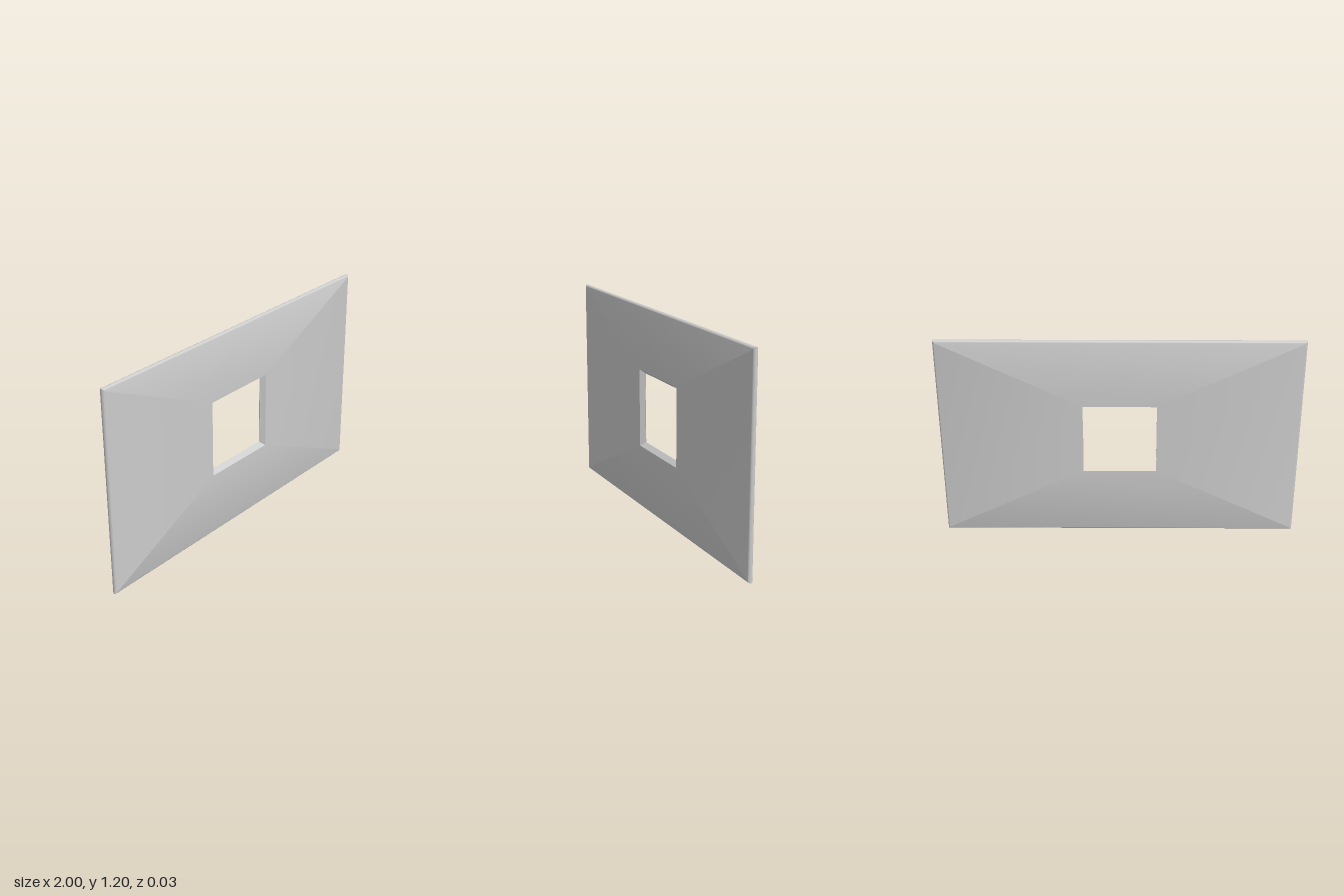
import * as THREE from 'three';
import { mergeGeometries, toCreasedNormals } from 'three/addons/utils/BufferGeometryUtils.js';

const HALF_W = 1, HALF_H = 0.6, R = 0.015; // half sizes; R is the edge radius and half thickness
const HOLE_FRONT = 0.227, HOLE_BACK = 0.205;

// Cross-section from the hole's front rim, round the outer edge, to its back rim: [halfWidth, halfHeight, z]
function plateSection() {
  const rings = [[HOLE_FRONT, HOLE_FRONT, R]];
  const steps = 10;
  for (let i = 0; i <= steps; i++) {
    const a = (i / steps) * Math.PI;
    const inset = R * (1 - Math.sin(a));
    rings.push([HALF_W - inset, HALF_H - inset, R * Math.cos(a)]);
  }
  rings.push([HOLE_BACK, HOLE_BACK, -R]);
  return rings;
}

// One mitred side of the frame, the section stretched between two neighbouring corners
function frameSide(rings, c0, c1) {
  const at = ([w, h, z], [sx, sy]) => [w * sx, h * sy, z];
  const pos = [];
  rings.forEach((ring, i) => {
    const next = rings[(i + 1) % rings.length];
    const a = at(ring, c0), b = at(next, c0), c = at(next, c1), d = at(ring, c1);
    pos.push(...a, ...b, ...c, ...a, ...c, ...d);
  });
  const g = new THREE.BufferGeometry();
  g.setAttribute('position', new THREE.Float32BufferAttribute(pos, 3));
  return toCreasedNormals(g, 0.5);
}

export function createModel() {
  const model = new THREE.Group();
  model.name = 'wallPlate';
  const grey = new THREE.MeshStandardMaterial({ color: 0xcccccc });

  // Plate with rounded outer edges and a tapered square opening
  const corners = [[1, -1], [1, 1], [-1, 1], [-1, -1]];
  const rings = plateSection();
  const sides = corners.map((c, i) => frameSide(rings, c, corners[(i + 1) % 4]));
  const plate = new THREE.Mesh(mergeGeometries(sides), grey);
  plate.name = 'plate';
  plate.position.y = HALF_H;
  model.add(plate);

  // Small retaining clips on the left and right walls of the opening
  for (const s of [1, -1]) {
    const clip = new THREE.Mesh(new THREE.BoxGeometry(0.009, 0.235, 0.005), grey);
    clip.name = s > 0 ? 'leftClip' : 'rightClip';
    clip.position.set(s * 0.2085, HALF_H, -0.0115);
    model.add(clip);
  }
  return model;
}
